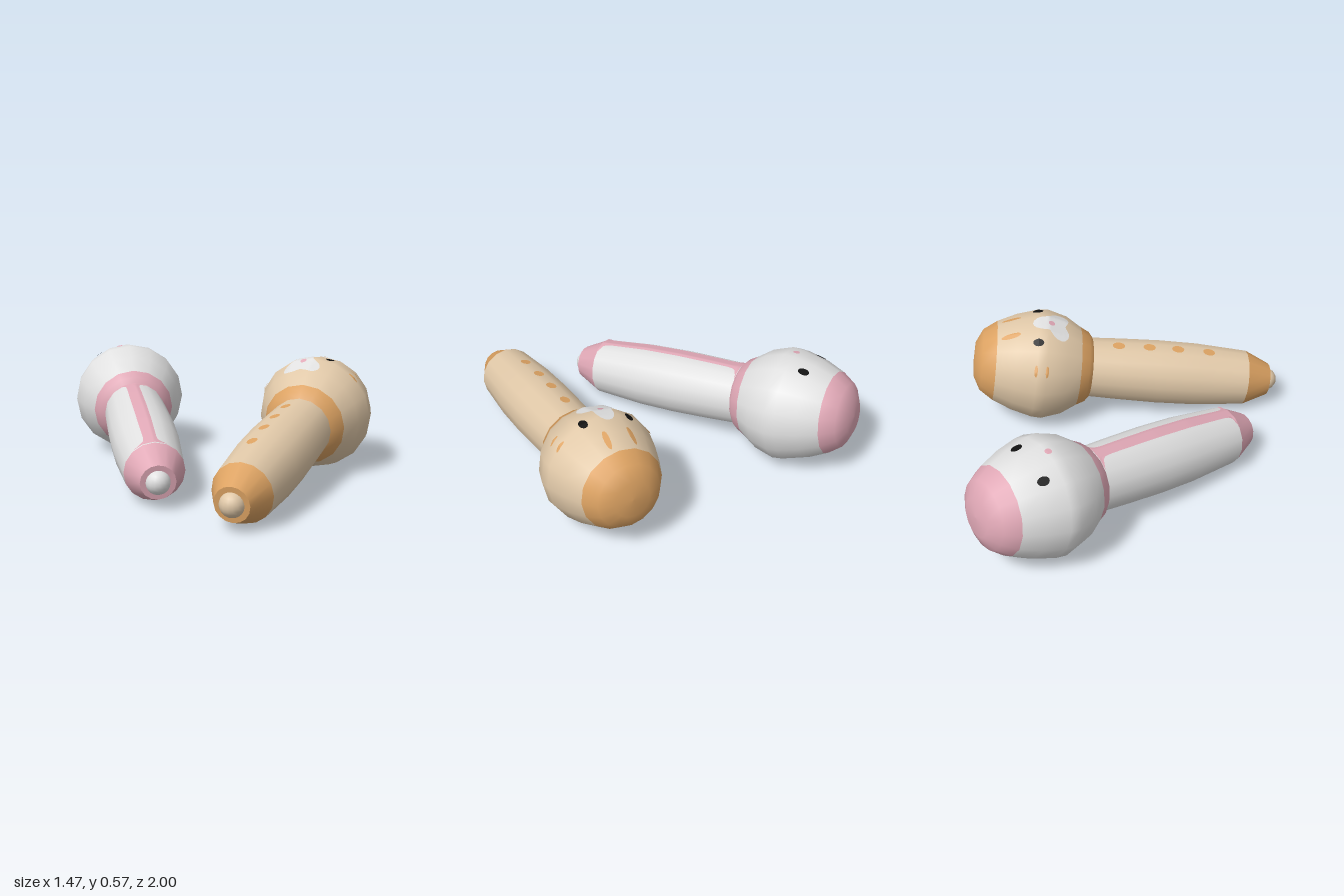
import * as THREE from 'three';

const mat = (name, color) => {
  const m = new THREE.MeshStandardMaterial({ color });
  m.name = name;
  return m;
};
const SIDES = 16;

// Profiles as [radius, distance along the axis], from crown to tip
const HEAD = [[0, -0.353], [0.09, -0.348], [0.16, -0.313], [0.207, -0.246], [0.25, -0.15], [0.28, -0.045],
  [0.285, 0.005], [0.255, 0.106], [0.205, 0.185], [0.183, 0.228], [0.155, 0.25]];
const BODY = [[0.155, 0.245], [0.161, 0.4], [0.166, 0.6], [0.163, 0.8], [0.143, 1.07]];
const TAPER = [[0.143, 1.07], [0.083, 1.2]];
const RIM = [[0.083, 1.2], [0, 1.2]];
const ALL = [...HEAD, ...BODY.slice(1), ...TAPER];

function radiusAt(s) {
  for (let i = 1; i < ALL.length; i++) {
    const [r0, s0] = ALL[i - 1], [r1, s1] = ALL[i];
    if (s <= s1 && s1 > s0) return r0 + (r1 - r0) * (s - s0) / (s1 - s0);
  }
  return 0.083;
}

// Turned solid along +z; each profile step may take its own material index
function turned(name, profile, materials, slotOf) {
  const geo = new THREE.LatheGeometry(profile.map(p => new THREE.Vector2(p[0], p[1])), SIDES);
  geo.rotateX(Math.PI / 2);
  const steps = profile.length - 1;
  if (slotOf) {
    for (let i = 0; i < SIDES; i++)
      for (let j = 0; j < steps; j++) geo.addGroup((i * steps + j) * 6, 6, slotOf(j));
  }
  const mesh = new THREE.Mesh(geo, materials);
  mesh.name = name;
  return mesh;
}

// Wraps a flat geometry (x across, y toward the crown) onto the turned surface
function decal(name, geo, material, s0, angle) {
  const pos = geo.attributes.position, r0 = radiusAt(s0), step = 2 * Math.PI / SIDES;
  for (let i = 0; i < pos.count; i++) {
    const s = s0 - pos.getY(i), a = angle + pos.getX(i) / r0;
    const m = ((a % step) + step) % step - step / 2;
    const r = radiusAt(s) * Math.cos(step / 2) / Math.cos(m) + 0.004;
    pos.setXYZ(i, r * Math.sin(a), r * Math.cos(a), s);
  }
  geo.computeVertexNormals();
  const mesh = new THREE.Mesh(geo, material);
  mesh.name = name;
  return mesh;
}

const oval = (w, h, turn = 0) =>
  new THREE.RingGeometry(0, 1, 16, 3).scale(w, h, 1).rotateZ(turn);

// Three-lobed patch with one lobe pointing toward the crown
function muzzleShape() {
  const geo = new THREE.RingGeometry(0, 1, 36, 8), pos = geo.attributes.position;
  for (let i = 0; i < pos.count; i++) {
    const x = pos.getX(i), y = pos.getY(i);
    const k = 0.083 * (1 + 0.32 * Math.cos(3 * (Math.atan2(y, x) - Math.PI / 2)));
    pos.setXY(i, x * k, y * k);
  }
  return geo;
}

// Long stripe that flares at both ends
function stripeShape(length) {
  const geo = new THREE.PlaneGeometry(2, length, 12, 48), pos = geo.attributes.position;
  for (let i = 0; i < pos.count; i++) {
    const end = length / 2 - Math.abs(pos.getY(i));
    pos.setX(i, pos.getX(i) * (0.034 + 0.07 * Math.exp(-end / 0.012)));
  }
  return geo;
}

function figure(name, base, accent, black, nose, noseAt, eyeAt, roll) {
  const g = new THREE.Group();
  g.name = name;
  // Head with coloured crown and collar
  g.add(turned('head', HEAD, [base, accent], j => (j < 3 || j > 7 ? 1 : 0)));
  g.add(turned('body', BODY, base));
  g.add(turned('tailTaper', TAPER, accent));
  g.add(turned('tailRim', RIM, accent));
  const ball = new THREE.Mesh(new THREE.SphereGeometry(0.058, 16, 12), base);
  ball.name = 'tailBall';
  ball.position.z = 1.193;
  g.add(ball);
  // Face
  for (const side of [-1, 1])
    g.add(decal('eye', oval(0.021, 0.027), black, eyeAt, roll + side * 0.44));
  const noseMesh = decal('nose', oval(0.016, 0.016), nose, noseAt, roll);
  noseMesh.scale.set(1.006, 1.006, 1);
  g.add(noseMesh);
  g.rotation.order = 'YXZ';
  g.rotation.x = 0.132;
  return g;
}

export function createModel() {
  const white = mat('white', 0xe0e0e0), pink = mat('pink', 0xe0a8b6);
  const cream = mat('cream', 0xe0c8a8), orange = mat('orange', 0xdca262);
  const black = mat('black', 0x111111);
  const model = new THREE.Group();
  model.name = 'figurePair';

  // White figure with a stripe along the body
  const pale = figure('whiteFigure', white, pink, black, pink, -0.038, -0.123, -0.18);
  pale.add(decal('bodyStripe', stripeShape(0.82), pink, 0.66, -0.1));
  pale.position.set(-0.453, 0.287, -0.65);
  model.add(pale);

  // Cream figure with muzzle, streaks and spots
  const roll = -0.17;
  const tan = figure('creamFigure', cream, orange, black, pink, 0.02, -0.045, roll);
  tan.add(decal('muzzle', muzzleShape(), white, 0.035, roll));
  for (const side of [-1, 1]) {
    tan.add(decal('foreheadStreak', oval(0.014, 0.048, -side * 0.15), orange, -0.18, roll + side * 0.27));
    for (const s of [-0.05, 0.005])
      tan.add(decal('cheekStreak', oval(0.03, 0.008), orange, s, roll + side * 0.97));
  }
  for (const s of [0.38, 0.54, 0.69, 0.855])
    tan.add(decal('bodySpot', oval(0.024, 0.032), orange, s, roll));
  tan.position.set(0.43, 0.287, -0.07);
  tan.rotation.y = -0.553;
  model.add(tan);

  return model;
}
